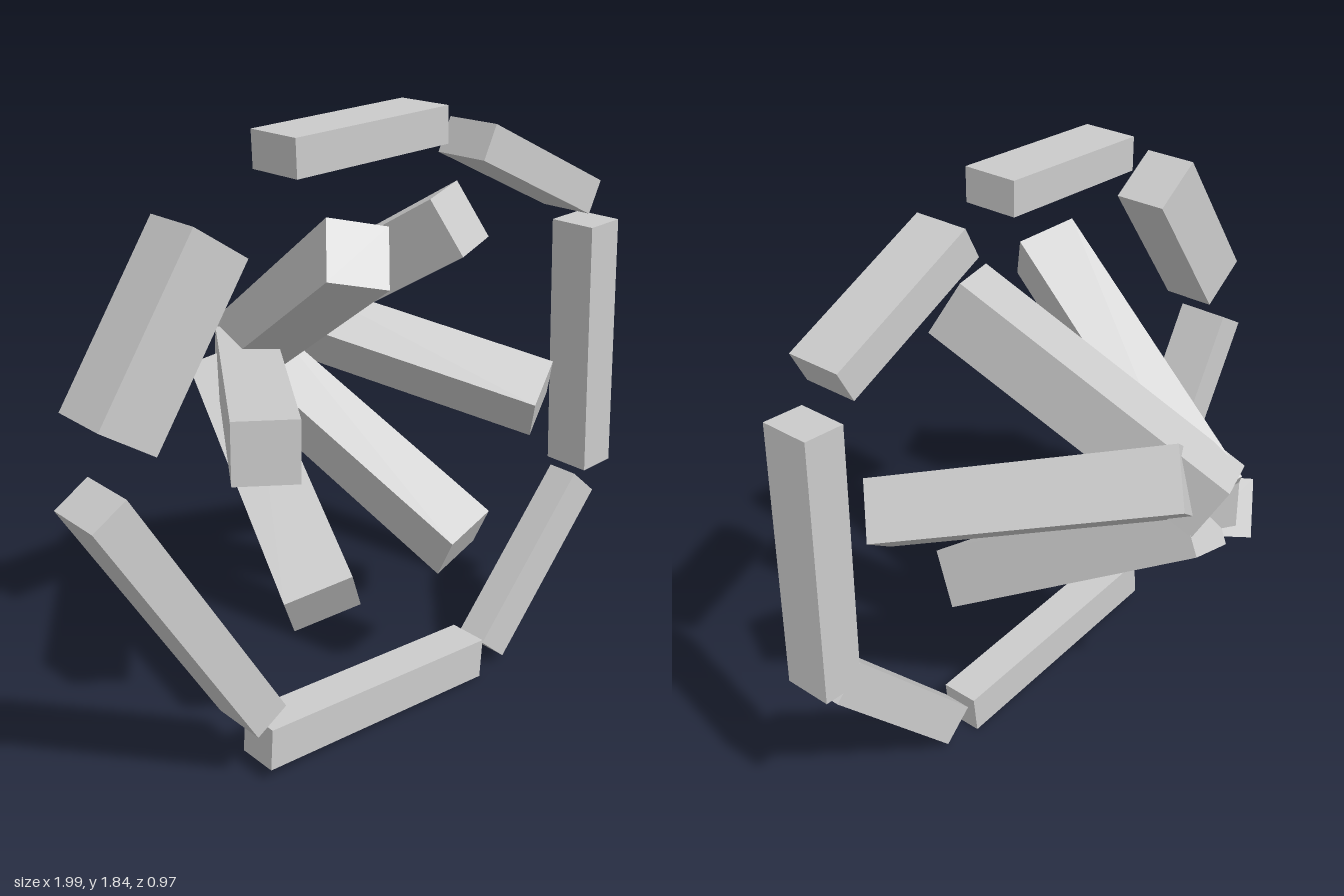
import * as THREE from 'three';

export function createModel() {
  const model = new THREE.Group();
  const material = new THREE.MeshStandardMaterial({ color: 0xcccccc, flatShading: true });

  // Outer ring of flat bars: centre x, y, length, width, angle in degrees, back z, front z
  const bars = [
    ['topBar', -0.105, 1.78, 0.525, 0.102, 2.9, 0.22, 0.395],
    ['upperLeftBar', 0.563, 1.617, 0.524, 0.105, -24.7, 0.22, 0.395],
    ['leftBar', 0.908, 1.0, 0.825, 0.126, -86.1, 0.227, 0.382],
    ['lowerLeftBar', 0.668, 0.307, 0.626, 0.133, 49.5, 0.284, 0.384],
    ['bottomBar', -0.035, 0.091, 0.861, 0.13, -2.85, 0.272, 0.398],
    ['lowerRightBar', -0.703, 0.597, 0.922, 0.118, -58.2, 0.22, 0.395],
    ['upperRightBar', -0.741, 1.376, 0.526, 0.19, 57, 0.22, 0.395],
  ];
  const ring = new THREE.Group();
  ring.name = 'outerRing';
  for (const [name, x, y, length, width, angle, back, front] of bars) {
    const bar = new THREE.Mesh(new THREE.BoxGeometry(length, width, front - back), material);
    bar.name = name;
    bar.position.set(x, y, (front + back) / 2);
    bar.rotation.z = THREE.MathUtils.degToRad(angle);
    ring.add(bar);
  }
  model.add(ring);

  // Spokes meeting at the back: front centre, back centre, and the x, y of
  // the end face's two edges (z follows from being square to the axis)
  const spokes = [
    ['upperRightSpoke', [-0.165, 1.497, 0.4], [0.04, 1.0, -0.37], [0.16, -0.037], [0.068, 0.144]],
    ['upperLeftSpoke', [0.275, 1.513, 0.34], [0.06, 1.03, -0.41], [0.168, 0.02], [-0.05, 0.155]],
    ['leftSpoke', [0.582, 0.92, 0.42], [0.14, 1.12, -0.36], [0.123, 0.1], [-0.098, 0.134]],
    ['lowerLeftSpoke', [0.278, 0.524, 0.405], [0.08, 0.965, -0.375], [0.165, 0.055], [-0.053, 0.148]],
    ['lowerRightSpoke', [-0.27, 0.505, 0.39], [-0.03, 0.945, -0.37], [0.17, 0.065], [-0.064, 0.145]],
    ['rightSpoke', [-0.483, 1.03, 0.41], [0.05, 0.99, -0.37], [0.15, 0], [0, 0.178]],
  ];
  const fan = new THREE.Group();
  fan.name = 'spokes';
  for (const [name, frontEnd, backEnd, edgeA, edgeB] of spokes) {
    const front = new THREE.Vector3(...frontEnd);
    const back = new THREE.Vector3(...backEnd);
    const axis = front.clone().sub(back);
    const lift = ([x, y]) => new THREE.Vector3(x, y, -(x * axis.x + y * axis.y) / axis.z);
    const a = lift(edgeA), b = lift(edgeB);
    const spoke = new THREE.Mesh(new THREE.BoxGeometry(a.length(), b.length(), axis.length()), material);
    spoke.name = name;
    axis.normalize();
    a.normalize();
    b.crossVectors(axis, a);
    spoke.quaternion.setFromRotationMatrix(new THREE.Matrix4().makeBasis(a, b, axis));
    spoke.position.addVectors(front, back).multiplyScalar(0.5);
    fan.add(spoke);
  }
  model.add(fan);
  return model;
}
